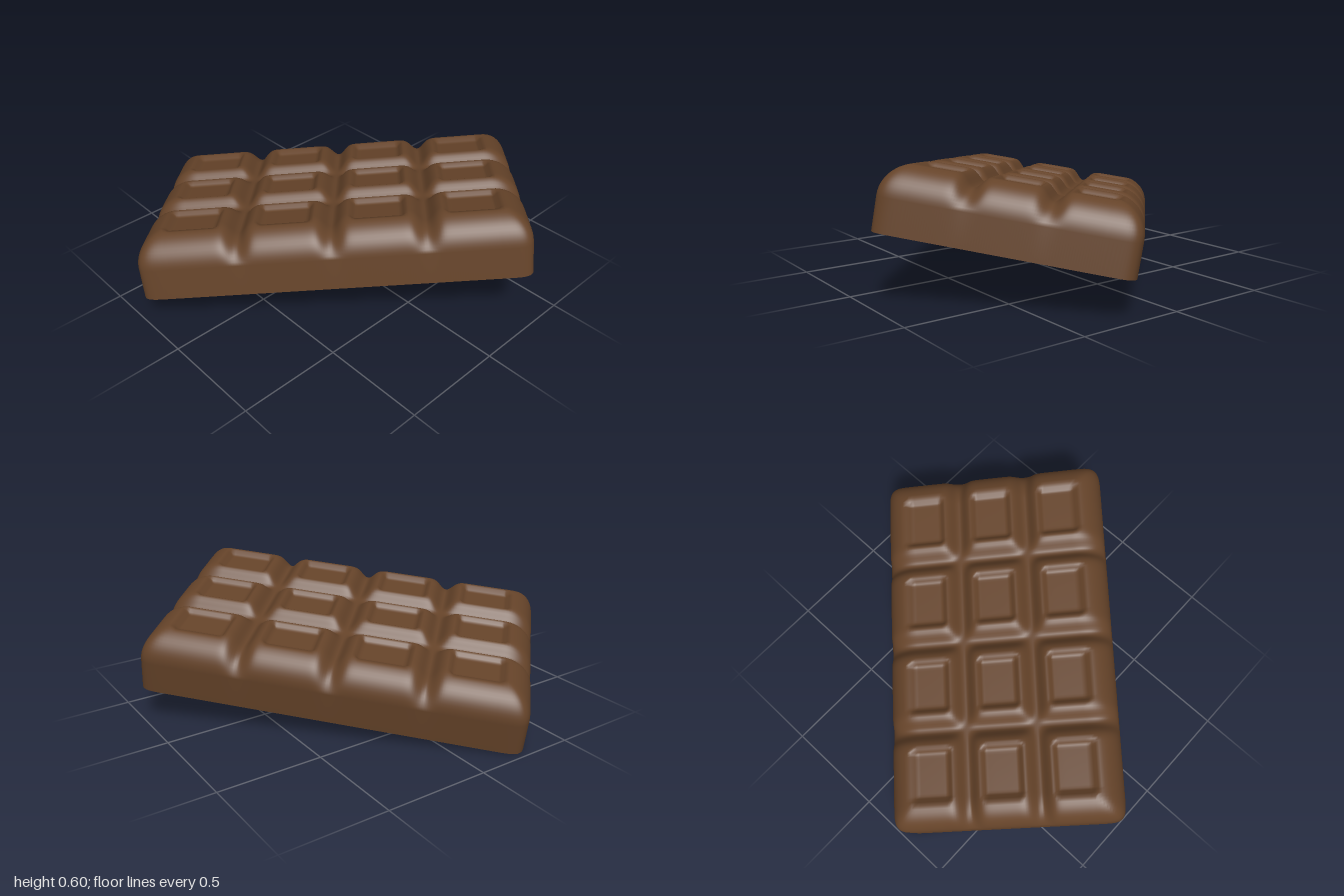
import * as THREE from 'three';
import { mergeVertices } from 'three/addons/utils/BufferGeometryUtils.js';

const L = 0.895, W = 0.555;          // half length and half width
const WALL = 0.15, R = 0.15;         // straight wall height, fillet radius
const PITCH_U = 0.427, PITCH_V = 0.34;
const P = 5;                         // squareness of the rounded corners

const groove = (x) => Math.exp(-((x / 0.042) ** 2));

// Strongest of the grooves that separate the 4 x 3 pieces
function grooveAt(x, z) {
  const gu = Math.max(...[-1, 0, 1].map((i) => groove(x - i * PITCH_U)));
  const gv = Math.max(...[-0.5, 0.5].map((i) => groove(z - i * PITCH_V)));
  return 0.06 * (gu + gv - gu * gv);
}

// Shallow rounded-rectangle recess in each piece
function recessAt(x, z) {
  const iu = THREE.MathUtils.clamp(Math.round(x / PITCH_U - 0.5), -2, 1) + 0.5;
  const iv = THREE.MathUtils.clamp(Math.round(z / PITCH_V), -1, 1);
  const r = 0.035;
  const qx = Math.abs(x - iu * PITCH_U) - 0.135 + r;
  const qz = Math.abs(z - iv * PITCH_V) - 0.108 + r;
  const d = Math.hypot(Math.max(qx, 0), Math.max(qz, 0)) + Math.min(Math.max(qx, qz), 0) - r;
  return 0.03 * THREE.MathUtils.smoothstep(-d, 0, 0.035);
}

// Samples along one axis: wall foot, fillet arc, flat top, fillet arc, wall foot
function axisSamples(half, steps) {
  const arc = 14, core = half - R, list = [];
  for (let i = 0; i <= steps; i++) list.push({ core: -core + (2 * core * i) / steps, a: 0, foot: false });
  for (let i = 1; i <= arc; i++) {
    const a = Math.sin((i / arc) * Math.PI / 2);
    list.push({ core, a, foot: false });
    list.unshift({ core: -core, a: -a, foot: false });
  }
  list.push({ core, a: 1, foot: true });
  list.unshift({ core: -core, a: -1, foot: true });
  return list;
}

// Maps a pair of axis samples to a point on the bar
function surfacePoint(s, t) {
  const a = Math.abs(s.a), b = Math.abs(t.a);
  const e = Math.max(a, b);
  const round = e > 0 ? e / (a ** P + b ** P) ** (1 / P) : 1;
  const c = Math.sqrt(Math.max(0, 1 - e * e));
  let x = s.core + s.a * round * R, z = t.core + t.a * round * R;
  if (s.foot || t.foot) return [x, 0, z];
  const k = 1 - (grooveAt(x, z) * c) / R;
  const y = WALL + R * c * k - recessAt(x, z) * c;
  x = s.core + s.a * round * R * k;
  z = t.core + t.a * round * R * k;
  return [x, y, z];
}

function barGeometry() {
  const us = axisSamples(L, 136), vs = axisSamples(W, 76);
  const pos = [], index = [], n = vs.length;
  us.forEach((s, i) => vs.forEach((t, j) => {
    pos.push(...surfacePoint(s, t));
    if (i && j) {
      const d = i * n + j, c = d - 1, b = d - n, a = b - 1;
      index.push(a, b, d, a, d, c);
    }
  }));
  const geo = new THREE.BufferGeometry();
  geo.setAttribute('position', new THREE.Float32BufferAttribute(pos, 3));
  geo.setIndex(index);
  const merged = mergeVertices(geo, 1e-5);
  merged.computeVertexNormals();
  return merged;
}

// Flat underside with the same rounded corners
function baseGeometry() {
  const pts = [];
  for (let q = 0; q < 4; q++) {
    for (let i = 0; i <= 16; i++) {
      const th = ((q + i / 16) * Math.PI) / 2;
      const co = Math.cos(th), si = Math.sin(th);
      const m = (Math.abs(co) ** P + Math.abs(si) ** P) ** (-1 / P);
      const sx = q === 0 || q === 3 ? 1 : -1, sz = q < 2 ? 1 : -1;
      pts.push(new THREE.Vector2(sx * (L - R) + co * m * R, sz * (W - R) + si * m * R));
    }
  }
  return new THREE.ShapeGeometry(new THREE.Shape(pts)).rotateX(Math.PI / 2);
}

export function createModel() {
  const material = new THREE.MeshStandardMaterial({ color: 0x654329 });
  const bar = new THREE.Group();
  bar.name = 'chocolateBar';
  const body = new THREE.Mesh(barGeometry(), material);
  body.name = 'segmentedBody';
  const base = new THREE.Mesh(baseGeometry(), material);
  base.name = 'underside';
  bar.add(body, base);

  // Turned diagonally and tipped up towards the front
  const up = new THREE.Vector3(0.035, 1, -0.18).normalize();
  const side = new THREE.Vector3().crossVectors(new THREE.Vector3(1.245, 0.185, 1.225), up).normalize();
  const along = new THREE.Vector3().crossVectors(up, side);
  bar.setRotationFromMatrix(new THREE.Matrix4().makeBasis(along, up, side));
  bar.position.set(0, 0.177, 0.015);

  const model = new THREE.Group();
  model.name = 'model';
  model.add(bar);
  return model;
}
